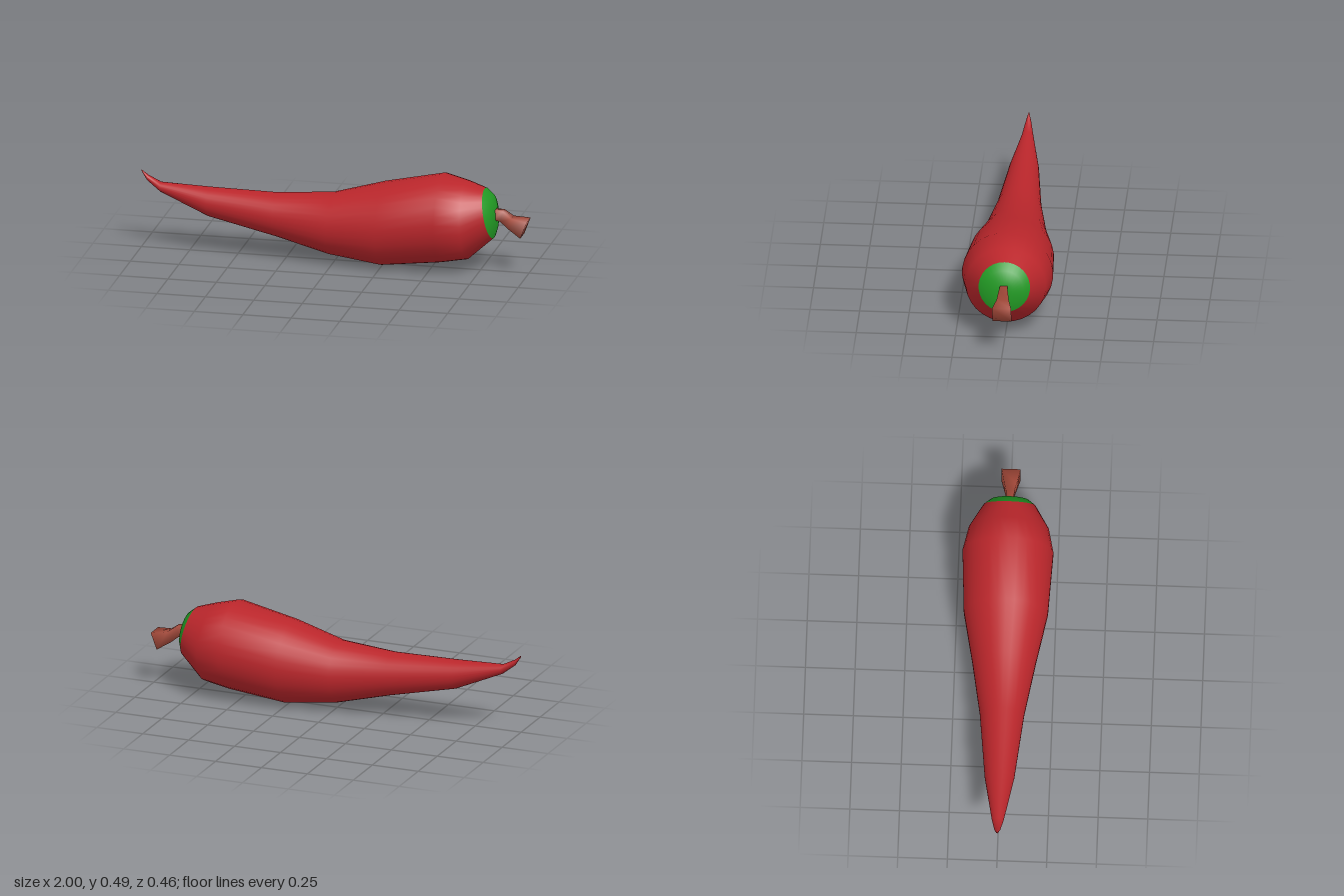
import * as THREE from 'three';

// Skin along x. Each section: [topX, topY, bottomX, bottomY, halfWidth]
function loft(name, sections, sides, color, square = false) {
  const pos = [], idx = [];
  const phase = square ? Math.PI / 4 : 0;
  const k = square ? Math.SQRT2 : 1;
  sections.forEach(([tx, ty, bx, by, w], i) => {
    for (let j = 0; j < sides; j++) {
      const a = phase + (j / sides) * Math.PI * 2;
      const c = (Math.cos(a) * k) / 2, s = Math.sin(a) * k;
      pos.push((tx + bx) / 2 + (tx - bx) * c, (ty + by) / 2 + (ty - by) * c, s * w);
      if (i === sections.length - 1) continue;
      const p = i * sides + j, q = i * sides + ((j + 1) % sides);
      idx.push(p, q, p + sides, q, q + sides, p + sides);
    }
  });
  const geo = new THREE.BufferGeometry();
  geo.setAttribute('position', new THREE.Float32BufferAttribute(pos, 3));
  geo.setIndex(idx);
  geo.computeVertexNormals();
  const mesh = new THREE.Mesh(geo, new THREE.MeshStandardMaterial({ color, side: THREE.DoubleSide }));
  mesh.name = name;
  return mesh;
}

export function createModel() {
  const group = new THREE.Group();
  group.name = 'chiliPepper';

  // Curved body, from the upturned tip to the shoulder
  group.add(loft('pepperBody', [
    [-1, 0.412, -0.998, 0.402, 0.003],
    [-0.965, 0.385, -0.97, 0.358, 0.015],
    [-0.9, 0.352, -0.9, 0.303, 0.03],
    [-0.65, 0.342, -0.65, 0.193, 0.075],
    [-0.3, 0.335, -0.3, 0.113, 0.112],
    [-0.01, 0.357, -0.02, 0.04, 0.16],
    [0.25, 0.43, 0.25, 0.004, 0.213],
    [0.555, 0.494, 0.555, 0.04, 0.23],
    [0.675, 0.463, 0.695, 0.065, 0.202],
    [0.77, 0.433, 0.822, 0.18, 0.13],
  ], 30, 0xba262b));

  // Green cap closing the shoulder
  group.add(loft('greenCap', [
    [0.77, 0.433, 0.822, 0.18, 0.13],
    [0.808, 0.402, 0.832, 0.212, 0.098],
    [0.828, 0.34, 0.834, 0.255, 0.045],
    [0.831, 0.3, 0.831, 0.3, 0],
  ], 30, 0x229a24));

  // Square stem, bent down and flared at its end
  group.add(loft('stem', [
    [0.815, 0.33, 0.815, 0.275, 0.018],
    [0.87, 0.325, 0.855, 0.272, 0.022],
    [0.915, 0.292, 0.895, 0.24, 0.031],
    [0.997, 0.282, 0.965, 0.197, 0.048],
    [0.981, 0.24, 0.981, 0.24, 0],
  ], 4, 0xa64a3a, true));

  return group;
}
